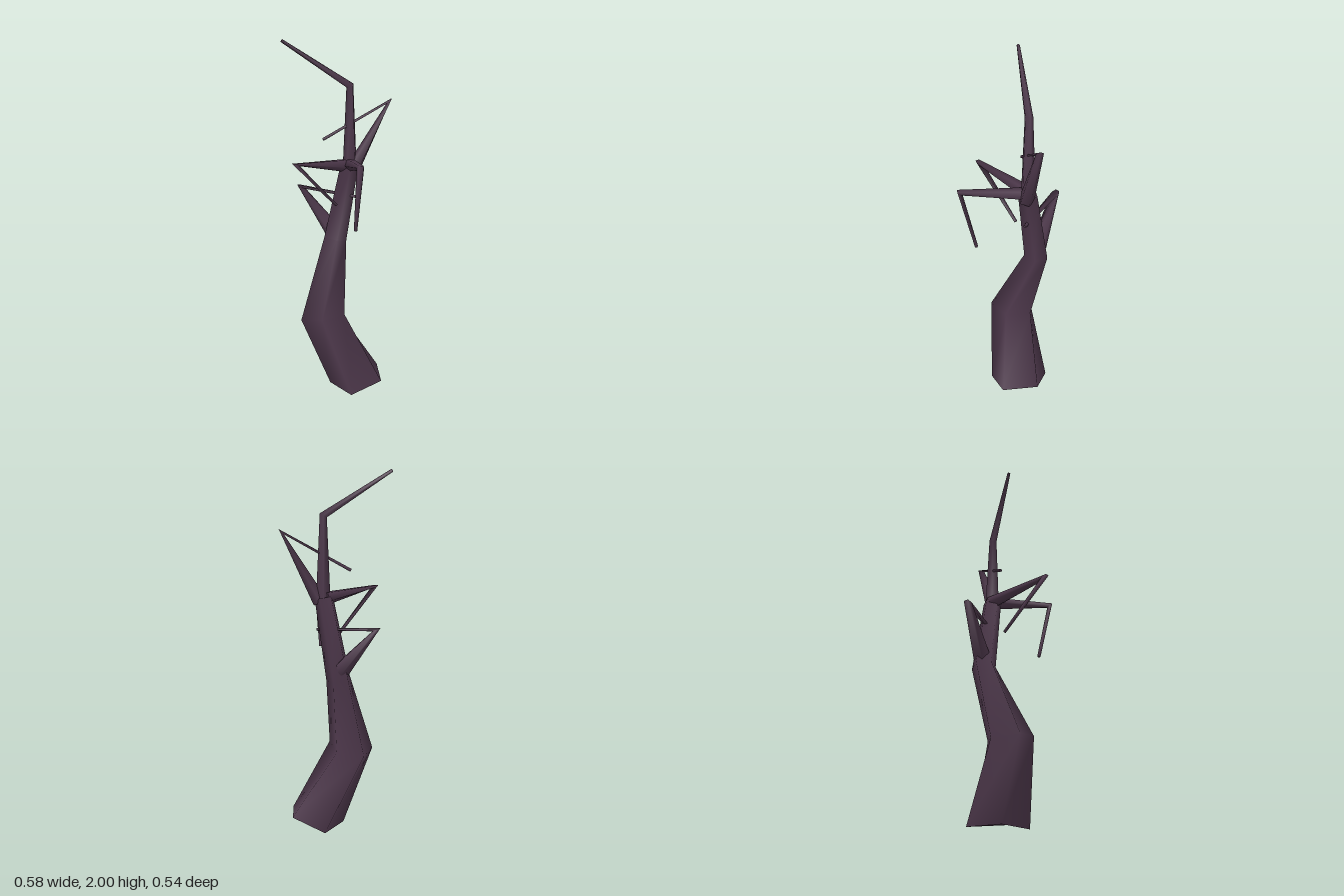
import * as THREE from 'three';

const SIDES = 5;

// Tapered limb through [x, y, z, radius] stations; each ring faces the mean direction of its neighbours.
function limbGeometry(stations, phases) {
  const centres = stations.map(([x, y, z]) => new THREE.Vector3(x, y, z));
  const dirs = centres.slice(1).map((c, i) => c.clone().sub(centres[i]).normalize());
  const positions = [];
  const indices = [];
  const rings = [];
  let side = new THREE.Vector3(1, 0, 0);

  centres.forEach((c, i) => {
    const before = dirs[Math.max(i - 1, 0)];
    const after = dirs[Math.min(i, dirs.length - 1)];
    const axis = before.clone().add(after).normalize();
    // carry the frame from ring to ring so the sides do not twist
    if (i > 0) side.applyQuaternion(new THREE.Quaternion().setFromUnitVectors(rings[i - 1].axis, axis));
    side = side.clone().addScaledVector(axis, -side.dot(axis)).normalize();
    const other = side.clone().cross(axis);
    const points = [];
    for (let k = 0; k < SIDES; k++) {
      const a = THREE.MathUtils.degToRad(phases[i]) + (k / SIDES) * Math.PI * 2;
      const p = c.clone()
        .addScaledVector(side, Math.cos(a) * stations[i][3])
        .addScaledVector(other, Math.sin(a) * stations[i][3]);
      p.y = Math.max(p.y, 0); // flattened against the ground
      points.push(p);
      positions.push(p.x, p.y, p.z);
    }
    rings.push({ axis, points });
  });

  // side walls
  for (let i = 0; i < rings.length - 1; i++) {
    for (let k = 0; k < SIDES; k++) {
      const a = i * SIDES + k;
      const b = i * SIDES + ((k + 1) % SIDES);
      indices.push(a, a + SIDES, b, b, a + SIDES, b + SIDES);
    }
  }
  // end caps with their own corners, so the rims stay sharp
  [[rings[0], false], [rings[rings.length - 1], true]].forEach(([ring, top]) => {
    const first = positions.length / 3;
    ring.points.forEach((p) => positions.push(p.x, p.y, p.z));
    for (let k = 1; k < SIDES - 1; k++) {
      if (top) indices.push(first, first + k + 1, first + k);
      else indices.push(first, first + k, first + k + 1);
    }
  });

  const geometry = new THREE.BufferGeometry();
  geometry.setAttribute('position', new THREE.Float32BufferAttribute(positions, 3));
  geometry.setIndex(indices);
  geometry.computeVertexNormals();
  return geometry;
}

export function createModel() {
  const tree = new THREE.Group();
  tree.name = 'deadTree';
  const bark = new THREE.MeshStandardMaterial({ color: 0x4b3649, side: THREE.DoubleSide });
  bark.name = 'dark bark';

  const addLimb = (name, stations, phases = stations.map(() => 20)) => {
    const mesh = new THREE.Mesh(limbGeometry(stations, phases), bark);
    mesh.name = name;
    tree.add(mesh);
  };

  // crooked trunk
  addLimb('trunk', [
    [0.125, 0, -0.095, 0.178],
    [-0.04, 0.44, 0.03, 0.132],
    [-0.04, 0.87, -0.12, 0.07],
    [0.055, 1.31, -0.108, 0.054],
  ], [4, -12, -25, -25]);

  // thin leader with its bent tip
  addLimb('leader', [
    [0.062, 1.29, -0.11, 0.042],
    [0.06, 1.755, -0.108, 0.023],
    [-0.252, 1.995, 0.1, 0.009],
  ]);

  // sharply folded side branches
  addLimb('upperBranch', [
    [0.08, 1.29, -0.11, 0.042],
    [0.238, 1.668, -0.248, 0.021],
    [-0.06, 1.46, -0.015, 0.009],
  ]);
  addLimb('leftBranch', [
    [0.06, 1.315, -0.11, 0.038],
    [0.262, 1.355, 0.19, 0.021],
    [0.21, 1.0, 0.13, 0.01],
  ]);
  addLimb('frontBranch', [
    [0.045, 1.31, -0.115, 0.04],
    [-0.082, 1.355, 0.258, 0.021],
    [0.02, 1.095, -0.02, 0.009],
  ]);
  addLimb('lowerBranch', [
    [-0.055, 0.92, -0.125, 0.05],
    [-0.27, 1.158, -0.133, 0.023],
    [0.1, 1.135, -0.11, 0.009],
  ]);

  return tree;
}
